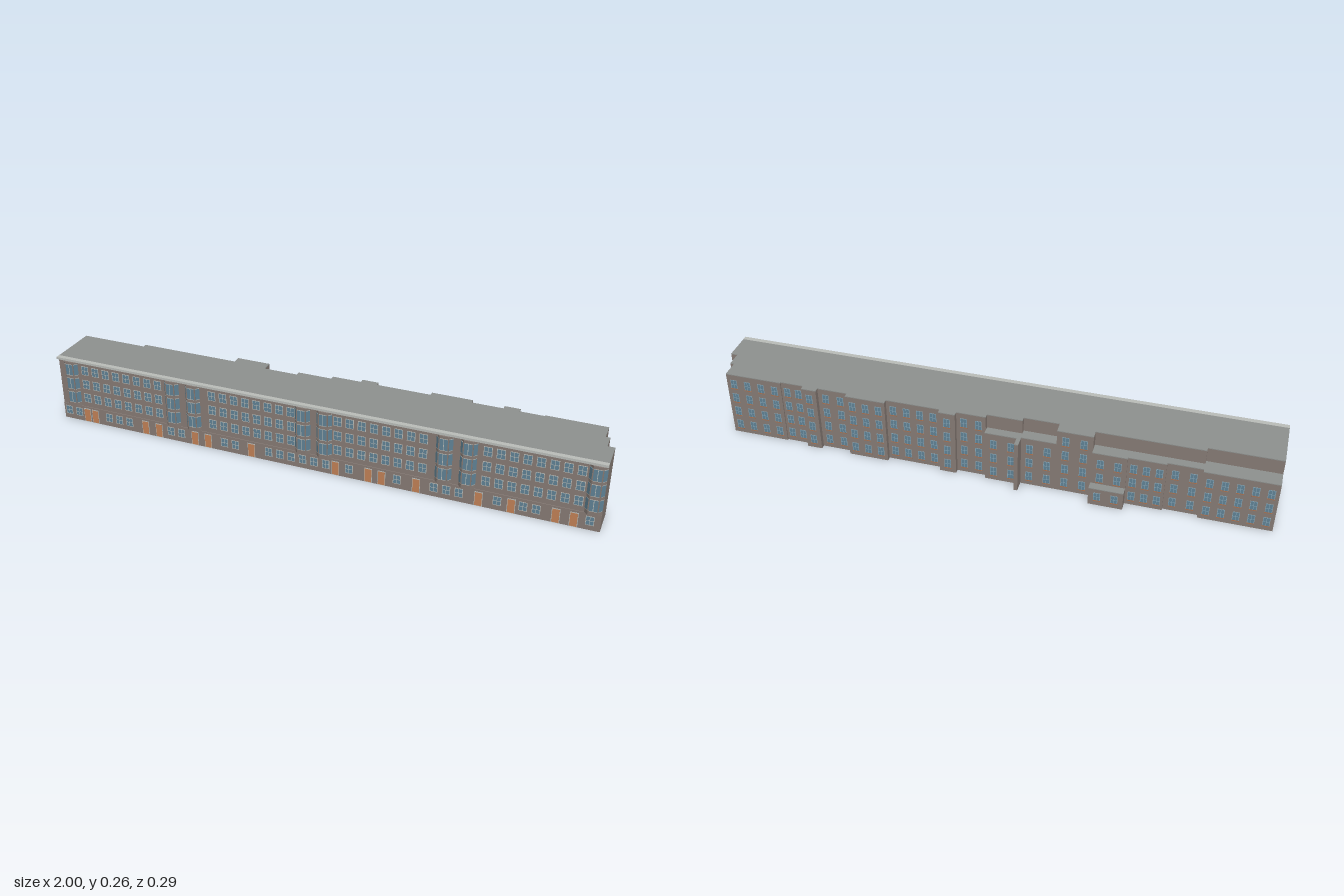
import * as THREE from 'three';
import { mergeGeometries } from 'three/addons/utils/BufferGeometryUtils.js';

const mat = (color) => new THREE.MeshStandardMaterial({ color });
const brick = mat(0x857a74), roofGrey = mat(0x8d908e), trim = mat(0xb9bcb8);
const glass = mat(0x5f8194), frameBlue = mat(0x86a6b6), doorWood = mat(0xc08055), sillRed = mat(0xa8704f);

const WALL = 0.13, TOP = 0.255, LOW = 0.2;

// Rear outline: x start, x end, rear z of the tall block, rear z of the lower annex
const segments = [
  [-1, -0.75, -0.055, -0.113], [-0.75, -0.63, -0.07, -0.1], [-0.63, -0.5, -0.07, -0.108],
  [-0.5, -0.38, -0.07, -0.114], [-0.38, -0.255, -0.1, null], [-0.255, -0.13, -0.06, -0.1],
  [-0.13, -0.005, -0.077, -0.108], [-0.005, 0.1, -0.093, null], [0.1, 0.16, -0.11, null],
  [0.16, 0.355, -0.093, null], [0.355, 0.5, -0.11, null], [0.5, 0.61, -0.093, null],
  [0.61, 0.665, -0.11, null], [0.665, 0.75, -0.093, null], [0.75, 0.96, -0.098, null],
];

// Upright prism from a plan outline of [x, z] points, dropping repeated corners
function prism(points, y0, y1) {
  const corners = points.filter(([x, z], i) => i === 0 || x !== points[i - 1][0] || z !== points[i - 1][1]);
  const shape = new THREE.Shape(corners.map(([x, z]) => new THREE.Vector2(x, -z)));
  const g = new THREE.ExtrudeGeometry(shape, { depth: y1 - y0, bevelEnabled: false });
  return g.rotateX(-Math.PI / 2).translate(0, y0, 0);
}

function box(x0, x1, y0, y1, z0, z1) {
  return new THREE.BoxGeometry(x1 - x0, y1 - y0, z1 - z0)
    .translate((x0 + x1) / 2, (y0 + y1) / 2, (z0 + z1) / 2)
    .toNonIndexed();
}

export function createModel() {
  const model = new THREE.Group();
  const add = (name, geometries, material) => {
    const mesh = new THREE.Mesh(mergeGeometries(geometries), material);
    mesh.name = name;
    model.add(mesh);
  };

  // Tall block with its stepped rear and right end
  const outline = [[-1, WALL], [1, WALL], [1, 0.025], [0.975, 0.025], [0.975, -0.032], [0.96, -0.032]];
  for (const [x0, x1, z] of [...segments].reverse()) outline.push([x1, z], [x0, z]);
  add('mainWalls', [prism(outline, 0, TOP - 0.003)], brick);
  add('mainRoof', [prism(outline, TOP - 0.003, TOP)], roofGrey);

  // Lower rear annexes, ground extension and party-wall fin
  const annexWalls = [], annexRoofs = [];
  const annex = (x0, x1, y, z0, z1) => {
    annexWalls.push(box(x0, x1, 0, y - 0.003, z1, z0));
    annexRoofs.push(box(x0, x1, y - 0.003, y, z1, z0));
  };
  for (const [x0, x1, z, low] of segments) if (low !== null) annex(x0, x1, LOW, z, low);
  annex(-0.5, -0.38, 0.07, -0.114, -0.143);
  annex(-0.132, -0.118, LOW, -0.1, -0.143);
  add('annexWalls', annexWalls, brick);
  add('annexRoofs', annexRoofs, roofGrey);

  // Front plinth storey, string course, and cornice
  add('groundStorey', [box(-1, 1, 0, 0.06, WALL, 0.132)], brick);
  add('stringCourse', [box(-1, 1, 0.059, 0.063, WALL, 0.133)], brick);
  add('cornice', [box(-1, 1, 0.247, TOP + 0.0005, WALL - 0.004, 0.143), box(-1, 1, 0.243, 0.247, WALL, 0.136)], trim);

  // Canted bay windows
  const bays = [-0.95, -0.533, -0.45, -0.028, 0.052, 0.475, 0.557, 0.971];
  const floors = [0.1, 0.156, 0.212];
  const bayWalls = [], bayGlass = [], bayFrames = [];
  for (const x of bays) {
    const plan = (e) => [
      [x - 0.028 - e, WALL], [x + 0.028 + e, WALL],
      [x + 0.016 + e, 0.1435 + e], [x - 0.016 - e, 0.1435 + e],
    ];
    bayWalls.push(prism(plan(0), 0.063, 0.244));
    for (const y of floors) {
      bayFrames.push(prism(plan(0.0003), y - 0.022, y + 0.023));
      bayGlass.push(prism(plan(0.0006), y - 0.02, y + 0.021));
      bayFrames.push(box(x - 0.001, x + 0.001, y - 0.02, y + 0.021, 0.143, 0.1446));
      for (const c of [x - 0.016, x + 0.016]) bayWalls.push(box(c - 0.002, c + 0.002, y - 0.022, y + 0.023, 0.14, 0.1445));
    }
  }
  add('bayWalls', bayWalls, brick);
  add('bayGlass', bayGlass, glass);
  add('bayFrames', bayFrames, trim);

  // Front doors in pale surrounds
  const doors = [-0.9, -0.866, -0.652, -0.596, -0.449, -0.396, -0.225, 0.094, 0.214, 0.262, 0.385, 0.6, 0.71, 0.856, 0.914];
  add('frontDoors', doors.map((x) => box(x - 0.012, x + 0.012, 0.002, 0.052, WALL, 0.1335)), doorWood);
  add('doorSurrounds', doors.map((x) => box(x - 0.014, x + 0.014, 0, 0.055, WALL, 0.1328)), trim);

  // Windows; dir is +1 for the front and -1 for the rear
  const panes = [], frames = [], rearFrames = [], sills = [];
  function sash(x, y, w, h, z, dir) {
    const slab = (hw, hh, t, dy = 0) =>
      box(x - hw, x + hw, y + dy - hh, y + dy + hh, Math.min(z, z + dir * t), Math.max(z, z + dir * t));
    const list = dir > 0 ? frames : rearFrames;
    list.push(slab(w / 2 + 0.002, h / 2 + 0.002, 0.0006));
    panes.push(slab(w / 2, h / 2, 0.0009));
    list.push(slab(w / 2, 0.0008, 0.0012), slab(0.0008, h / 2, 0.0012));
    if (dir < 0) sills.push(slab(w / 2 + 0.003, 0.0018, 0.0014, -h / 2 - 0.002));
  }

  // Front windows, skipping bays and doors
  for (let i = 0; i < 46; i++) {
    const x = -0.979 + i * 0.0432;
    if (!bays.some((b) => Math.abs(b - x) < 0.042)) for (const y of floors) sash(x, y, 0.025, 0.032, WALL, 1);
    if (!doors.some((d) => Math.abs(d - x) < 0.027)) sash(x, 0.035, 0.024, 0.03, 0.132, 1);
  }

  // Rear windows, spread evenly over each stretch of wall
  for (const [x0, x1, z, low] of segments) {
    const n = Math.max(1, Math.round((x1 - x0) / 0.052));
    const rows = low === null ? [0.036, 0.095, 0.154, 0.213] : [0.036, 0.095, 0.154];
    for (let i = 0; i < n; i++) {
      const x = x0 + ((i + 0.5) / n) * (x1 - x0);
      for (const y of rows) {
        if (x0 === -0.5 && y < 0.07) sash(x, y, 0.02, 0.03, -0.143, -1);
        else if (Math.abs(x + 0.125) > 0.02) sash(x, y, 0.02, 0.034, low ?? z, -1);
      }
    }
  }
  add('windowPanes', panes, glass);
  add('frontWindowFrames', frames, trim);
  add('rearWindowFrames', rearFrames, frameBlue);
  add('rearSills', sills, sillRed);
  return model;
}
